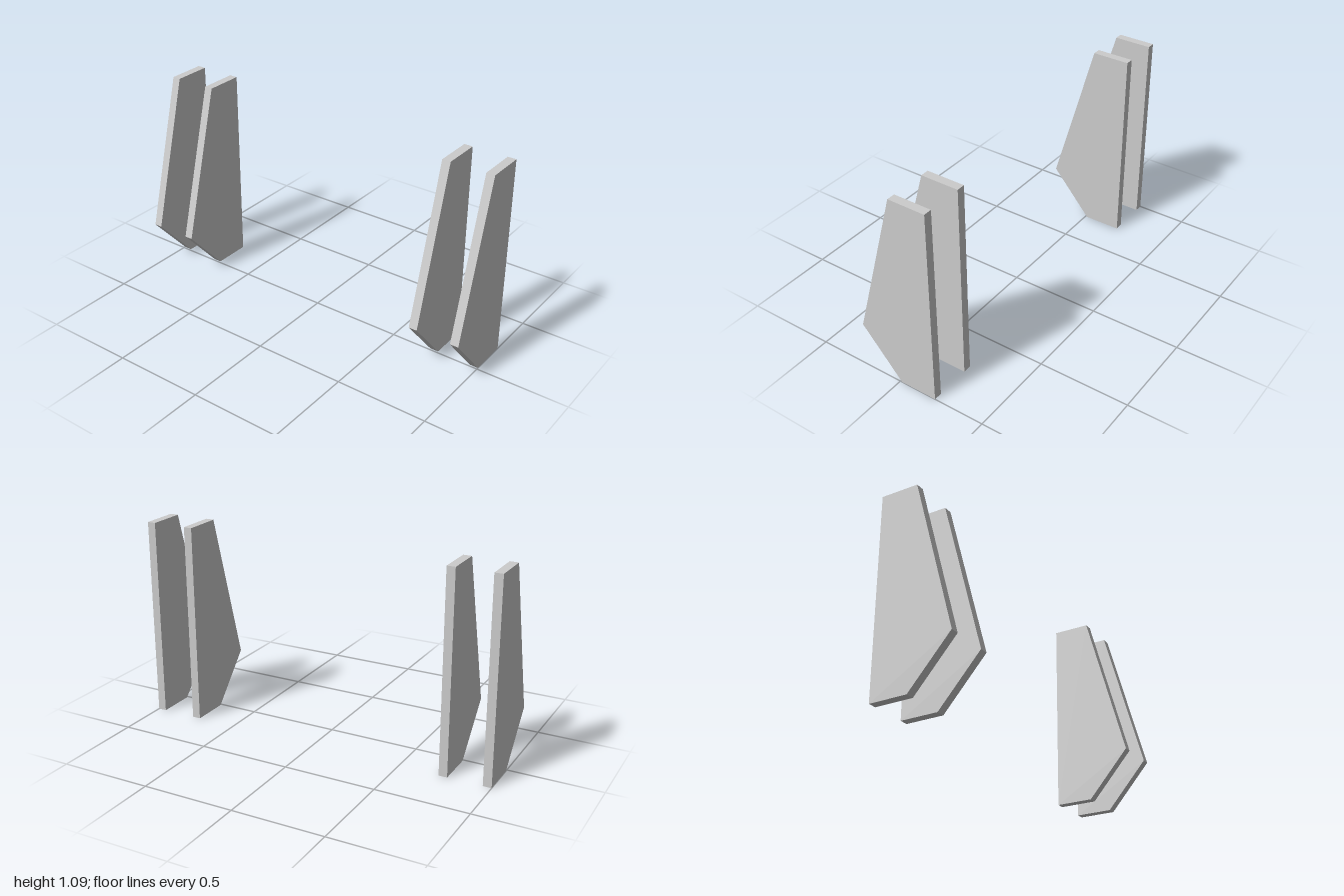
import * as THREE from 'three';

const THICKNESS = 0.046;

export function createModel() {
  const model = new THREE.Group();
  const material = new THREE.MeshStandardMaterial({ color: 0xcccccc, flatShading: true });

  // Side profile of a bracket plate, drawn as (z, y)
  const profile = new THREE.Shape([
    [-0.218, 0], [-0.011, 0], [0.218, 0.26], [-0.011, 1.091], [-0.218, 1.091],
  ].map(([z, y]) => new THREE.Vector2(z, y)));

  // Extrude the plate and turn it so its thickness runs along x
  const plate = new THREE.ExtrudeGeometry(profile, { depth: THICKNESS, bevelEnabled: false });
  plate.translate(0, 0, -THICKNESS / 2);
  plate.rotateY(-Math.PI / 2);

  // A mirrored pair of plates on each side
  for (const [side, sign] of [['left', 1], ['right', -1]]) {
    const bracket = new THREE.Group();
    bracket.name = `${side}Bracket`;
    for (const [part, x] of [['Inner', 0.743], ['Outer', 0.977]]) {
      const mesh = new THREE.Mesh(plate, material);
      mesh.name = `${side}${part}Plate`;
      mesh.position.x = sign * x;
      bracket.add(mesh);
    }
    model.add(bracket);
  }
  return model;
}
